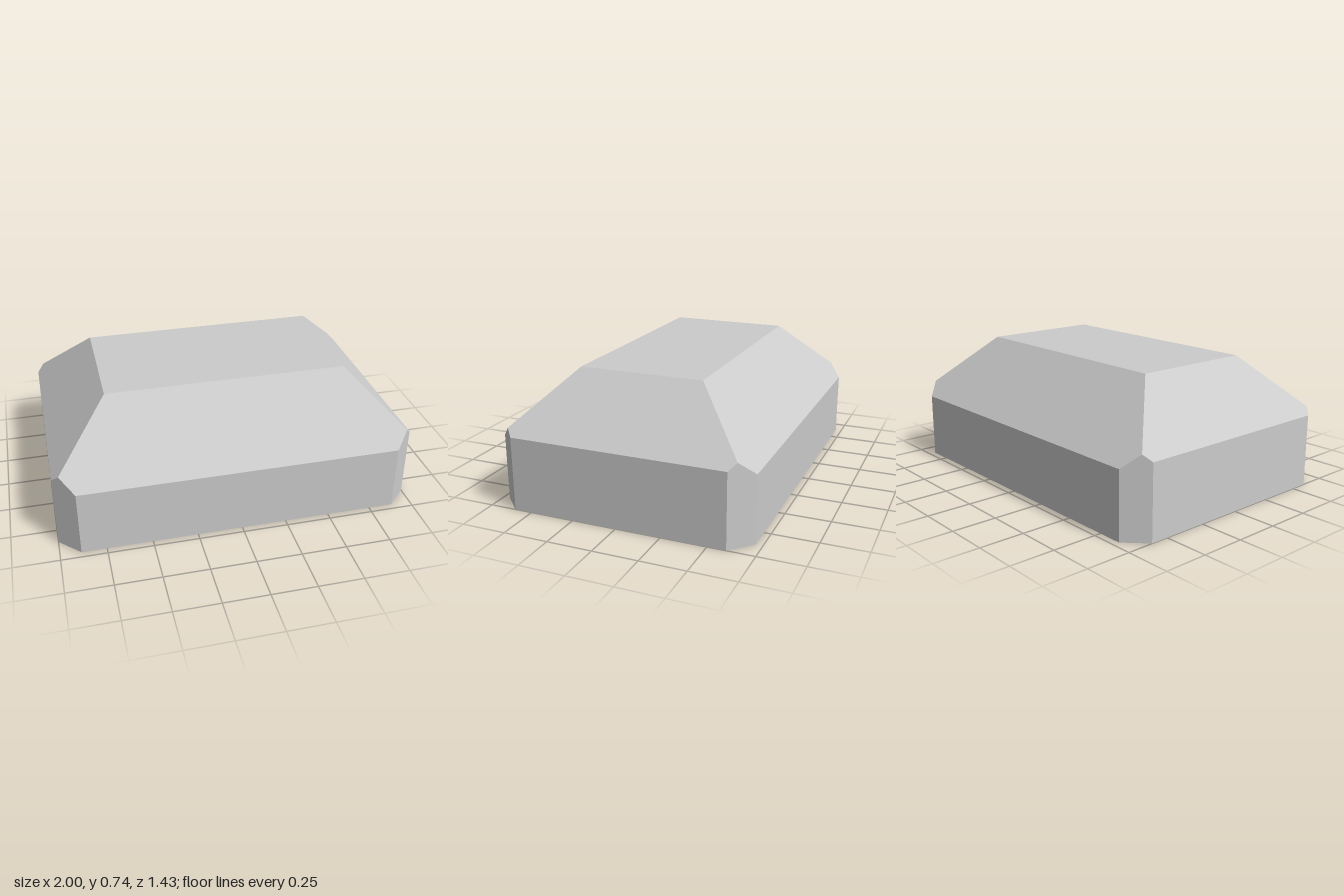
import * as THREE from 'three';
import { ConvexGeometry } from 'three/addons/geometries/ConvexGeometry.js';

export function createModel() {
  const halfW = 1, halfD = 0.713, height = 0.738;
  const topX = 0.673, topZ = 0.348; // half extents of the flat top
  const cut = 0.113;                // vertical corner chamfer

  // All roof slopes run at 45 degrees
  const sideY = height + topX - halfW;
  const frontY = height + topZ - halfD;
  // Point where both slopes meet the corner chamfer
  const apexY = (2 * height + topX + topZ - (halfW + halfD - cut)) / 2;
  const apexX = height + topX - apexY;
  const apexZ = height + topZ - apexY;

  // One quarter of the block, mirrored to all four corners
  const quarter = [
    [topX, height, topZ],
    [apexX, apexY, apexZ],
    [halfW, sideY, halfD - cut],
    [halfW - cut, frontY, halfD],
    [halfW, 0, halfD - cut],
    [halfW - cut, 0, halfD],
  ];
  const points = [];
  for (const sx of [-1, 1])
    for (const sz of [-1, 1])
      for (const [x, y, z] of quarter) points.push(new THREE.Vector3(sx * x, y, sz * z));

  const block = new THREE.Mesh(
    new ConvexGeometry(points),
    new THREE.MeshStandardMaterial({ color: 0xcccccc, flatShading: true })
  );
  block.name = 'chamferedBlock';

  const group = new THREE.Group();
  group.name = 'bevelledBlock';
  group.add(block);
  return group;
}
